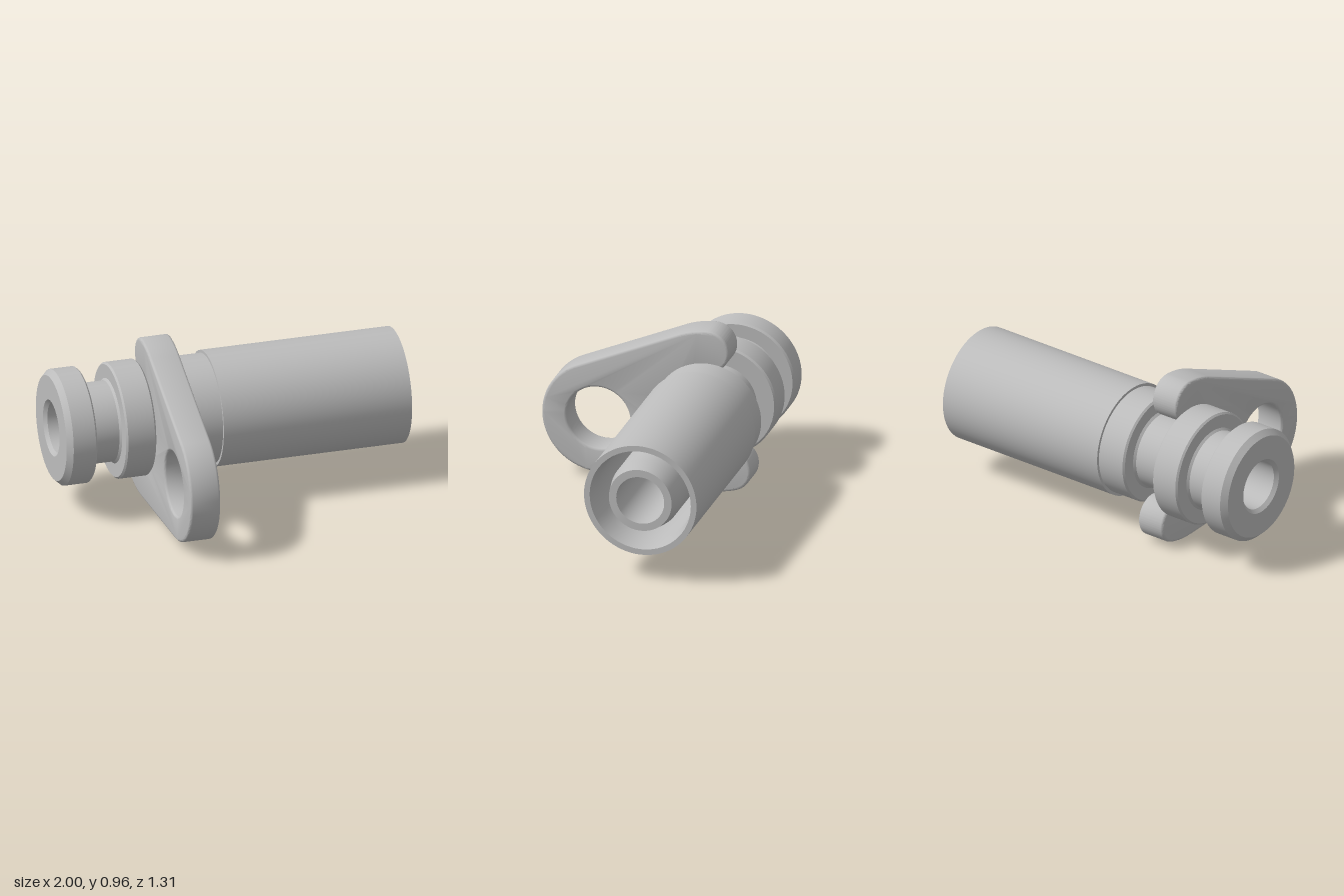
import * as THREE from 'three';
import { toCreasedNormals } from 'three/addons/utils/BufferGeometryUtils.js';

const AXIS_Y = 0.486, AXIS_Z = -0.327;
const rad = THREE.MathUtils.degToRad;

// Revolve [x, radius] pairs around the fitting's x axis
function turned(name, profile, material) {
  const points = profile.map(([x, r]) => new THREE.Vector2(r, x));
  const geometry = new THREE.LatheGeometry(points, 72).rotateZ(-Math.PI / 2);
  const mesh = new THREE.Mesh(toCreasedNormals(geometry, 0.6), material);
  mesh.name = name;
  mesh.position.set(0, AXIS_Y, AXIS_Z);
  return mesh;
}

// Forked plate: a round ear with a bolt hole, and two prongs around the neck
function forkPlate(material) {
  const ear = [-0.327, 0.366], hub = [-AXIS_Z, AXIS_Y];
  const outer = 0.482, slot = 0.238;
  const mid = (outer + slot) / 2, cap = (outer - slot) / 2;
  const shape = new THREE.Shape();
  const arc = ([x, y], r, from, to) =>
    shape.absarc(x, y, r, rad(from), rad(to), to < from);
  const prong = (a) => [hub[0] + mid * Math.cos(rad(a)), hub[1] + mid * Math.sin(rad(a))];
  const top = 92.4, bottom = 288;

  arc(ear, 0.33, 113.6, 267.2);
  arc(hub, outer, 267.2, bottom);
  arc(prong(bottom), cap, bottom, bottom + 180);
  arc(hub, slot, bottom, top);
  arc(prong(top), cap, top - 180, top);
  arc(hub, outer, top, 113.6);

  const hole = new THREE.Path();
  hole.absarc(ear[0], ear[1], 0.185, 0, Math.PI * 2, true);
  shape.holes.push(hole);

  const bevel = 0.015, thickness = 0.175;
  const geometry = new THREE.ExtrudeGeometry(shape, {
    depth: thickness - 2 * bevel, curveSegments: 32,
    bevelSize: bevel, bevelThickness: bevel, bevelOffset: -bevel, bevelSegments: 3,
  });
  geometry.translate(0, 0, bevel).rotateY(Math.PI / 2);
  const mesh = new THREE.Mesh(toCreasedNormals(geometry, 0.6), material);
  mesh.name = 'forkPlate';
  mesh.position.x = -0.485;
  return mesh;
}

export function createModel() {
  const model = new THREE.Group();
  model.name = 'hoseFitting';
  const steel = new THREE.MeshStandardMaterial({ color: 0xbcbcbc });
  steel.name = 'greySteel';

  // Grooved body, collar and inner tube, with a through bore
  model.add(turned('fittingBody', [
    [-0.98, 0.14], [-1, 0.16], [-1, 0.298], [-0.968, 0.328],
    [-0.838, 0.328], [-0.828, 0.318], [-0.828, 0.24], [-0.816, 0.228],
    [-0.672, 0.228], [-0.66, 0.24], [-0.66, 0.318], [-0.65, 0.328],
    [-0.495, 0.328], [-0.485, 0.318], [-0.485, 0.217],
    [-0.284, 0.217], [-0.272, 0.229], [-0.272, 0.302], [-0.262, 0.312],
    [-0.09, 0.312], [-0.05, 0.312], [-0.05, 0.203],
    [0.9, 0.203], [1, 0.183], [1, 0.14], [-0.98, 0.14],
  ], steel));

  // Outer sleeve, open at the far end
  model.add(turned('sleeve', [
    [-0.05, 0.277], [-0.095, 0.277], [-0.095, 0.328],
    [1, 0.328], [1, 0.295], [0.9, 0.277], [-0.05, 0.277],
  ], steel));

  model.add(forkPlate(steel));
  return model;
}
